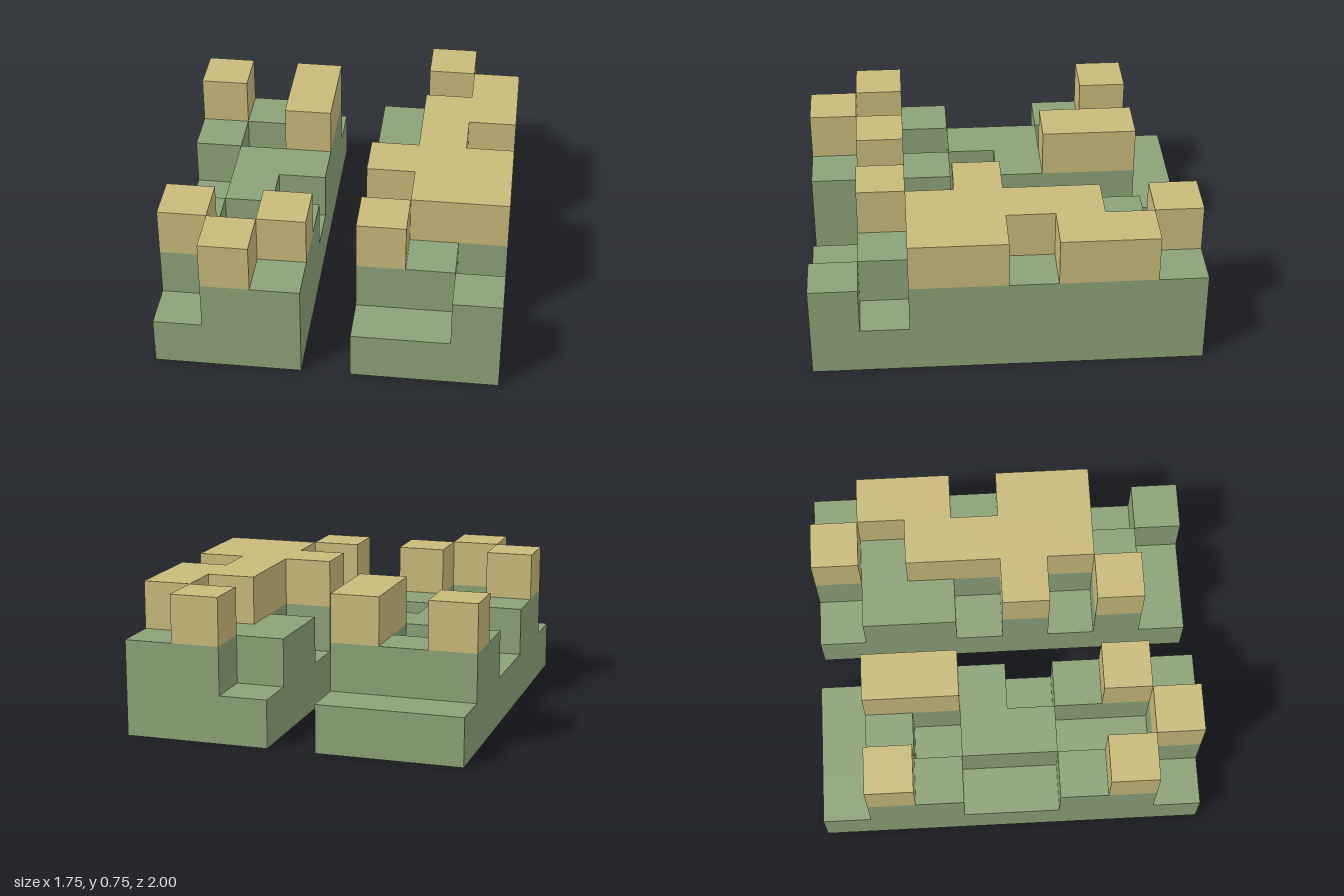
import * as THREE from 'three';
import { mergeGeometries } from 'three/addons/utils/BufferGeometryUtils.js';

const CELL = 0.25;
const ROCK_LEVEL = 2; // steps above this one are sand

// Heights in steps, rows from back to front, columns along +x
const RIGHT_HEIGHTS = ['111', '323', '213', '122', '121', '212', '313', '132'];
const LEFT_HEIGHTS = ['132', '223', '233', '132', '333', '133', '321', '112'];

// Square face of one cell, turned about x or y and moved into place
function face(rotX, rotY, x, y, z) {
  return new THREE.PlaneGeometry(CELL, CELL).rotateX(rotX).rotateY(rotY).translate(x, y, z);
}

// Stepped shell, open underneath: a top per cell and walls where a neighbour is lower
function terrain(name, rows, xStart, mats) {
  const grass = [], sand = [];
  const heightAt = (r, c) => Number(rows[r]?.[c] ?? 0);
  const sides = [[0, 1, 0], [1, 0, Math.PI / 2], [0, -1, Math.PI], [-1, 0, -Math.PI / 2]];

  for (let r = 0; r < rows.length; r++) {
    for (let c = 0; c < rows[r].length; c++) {
      const h = heightAt(r, c);
      const x = xStart + (c + 0.5) * CELL;
      const z = -1 + (r + 0.5) * CELL;
      (h > ROCK_LEVEL ? sand : grass).push(face(-Math.PI / 2, 0, x, h * CELL, z));
      for (const [dx, dz, turn] of sides) {
        for (let k = heightAt(r + dz, c + dx); k < h; k++) {
          (k >= ROCK_LEVEL ? sand : grass).push(
            face(0, turn, x + dx * CELL / 2, (k + 0.5) * CELL, z + dz * CELL / 2));
        }
      }
    }
  }

  const group = new THREE.Group();
  group.name = name;
  const base = new THREE.Mesh(mergeGeometries(grass), mats.green);
  base.name = name + 'Base';
  const blocks = new THREE.Mesh(mergeGeometries(sand), mats.tan);
  blocks.name = name + 'TopBlocks';
  group.add(base, blocks);
  return group;
}

export function createModel() {
  const green = new THREE.MeshStandardMaterial({ color: 0x8ba277, side: THREE.DoubleSide });
  green.name = 'mossGreen';
  const tan = new THREE.MeshStandardMaterial({ color: 0xc8ba7a, side: THREE.DoubleSide });
  tan.name = 'sandTan';
  const mats = { green, tan };

  const model = new THREE.Group();
  model.name = 'steppedTerrain';
  model.add(
    terrain('rightSlab', RIGHT_HEIGHTS, -0.875, mats),
    terrain('leftSlab', LEFT_HEIGHTS, 0.125, mats),
  );
  return model;
}
